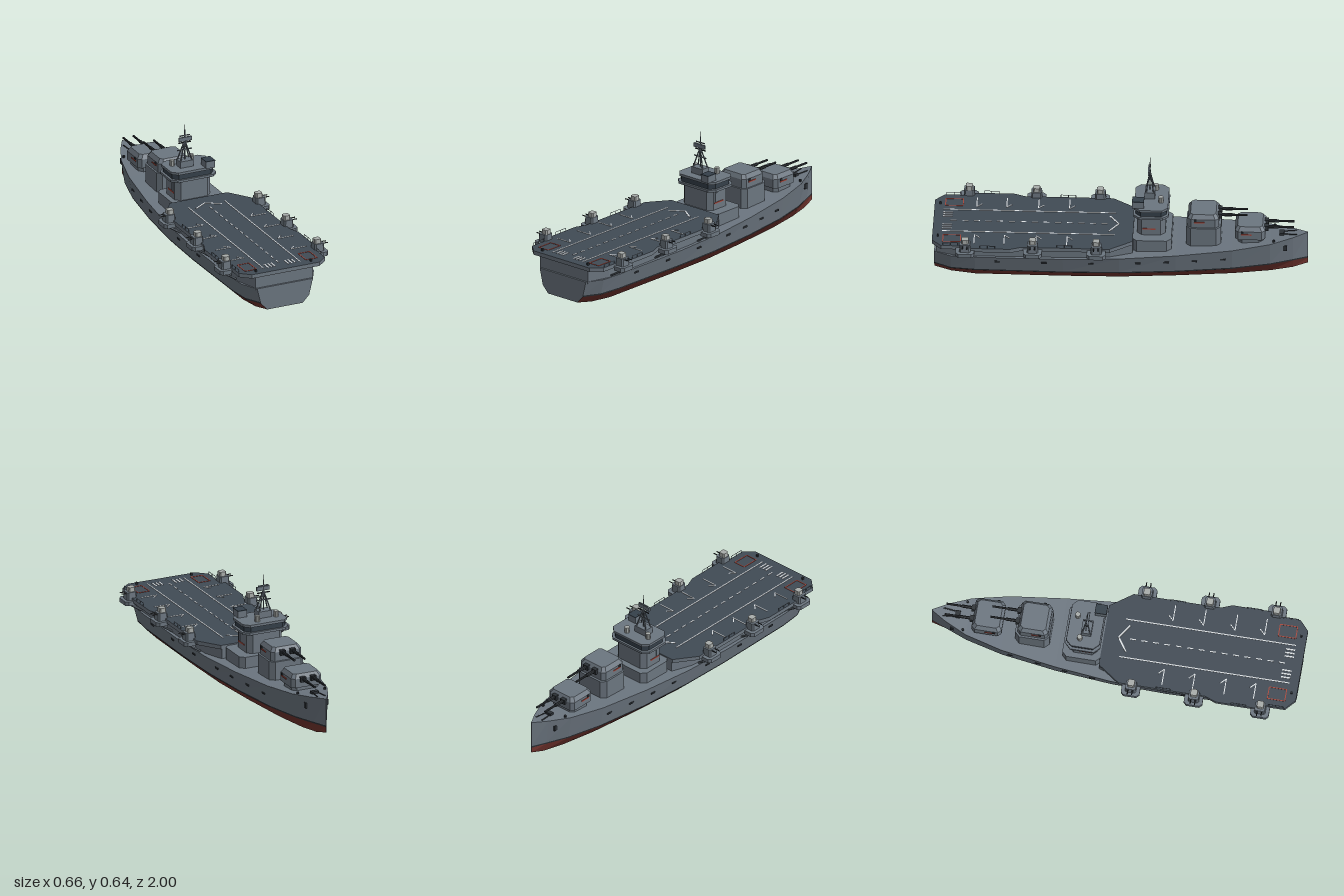
import * as THREE from 'three';

const mat = (name, color) => {
  const m = new THREE.MeshStandardMaterial({ color, flatShading: true });
  m.name = name;
  return m;
};

export function createModel() {
  const root = new THREE.Group();
  root.name = 'warship';
  const grey = mat('hull grey', 0x6c7680);
  const dark = mat('flight deck slate', 0x414b55);
  const red = mat('antifouling red', 0x74352f);
  const black = mat('gunmetal', 0x2c3136);
  const glass = mat('window dark', 0x35404a);
  const white = mat('marking white', 0xdfe3e6);
  const pale = mat('gun shield pale grey', 0xa9adab);
  const accent = mat('accent red', 0xa8483c);

  const add = (name, geo, m, parent = root) => {
    const mesh = new THREE.Mesh(geo, m);
    mesh.name = name;
    parent.add(mesh);
    return mesh;
  };
  const box = (name, w, h, d, x, y, z, m, parent) => {
    const b = add(name, new THREE.BoxGeometry(w, h, d), m, parent);
    b.position.set(x, y, z);
    return b;
  };
  const rod = (name, a, b, r, m, parent, sides = 6) => {
    const A = new THREE.Vector3(...a), B = new THREE.Vector3(...b), d = B.clone().sub(A);
    const c = add(name, new THREE.CylinderGeometry(r, r, d.length(), sides), m, parent);
    c.position.copy(A).add(B).multiplyScalar(0.5);
    c.quaternion.setFromUnitVectors(new THREE.Vector3(0, 1, 0), d.normalize());
    return c;
  };
  // Upright prism from an [x, z] outline; the top ring may shrink about its centre
  const prism = (name, pts, y0, y1, m, x = 0, z = 0, taper = 1, parent = root) => {
    const s = new THREE.Shape(pts.map(([px, pz]) => new THREE.Vector2(px, -pz)));
    const g = new THREE.ExtrudeGeometry(s, { depth: y1 - y0, bevelEnabled: false }).rotateX(-Math.PI / 2);
    const p = g.attributes.position;
    for (let i = 0; i < p.count; i++) {
      if (p.getY(i) > (y1 - y0) / 2) p.setXYZ(i, p.getX(i) * taper, p.getY(i), p.getZ(i) * taper);
    }
    g.computeVertexNormals();
    const mesh = add(name, g, m, parent);
    mesh.position.set(x, y0, z);
    return mesh;
  };
  const oct = (w, d, c) => [[-w, -d + c], [-w + c, -d], [w - c, -d], [w, -d + c],
    [w, d - c], [w - c, d], [-w + c, d], [-w, d - c]];
  const mirrored = half => [...half, ...half.map(([x, z]) => [-x, z]).reverse()];

  // Hull stations: z, half-widths at deck, waterline and bottom, deck height, keel height
  const stations = [
    [0.99, 0.165, 0.143, 0.105, 0.150, 0.02], [0.90, 0.215, 0.190, 0.130, 0.153, 0.008],
    [0.77, 0.228, 0.204, 0.142, 0.156, 0], [0.30, 0.235, 0.210, 0.145, 0.159, 0],
    [0.00, 0.226, 0.203, 0.140, 0.164, 0], [-0.30, 0.197, 0.177, 0.115, 0.173, 0],
    [-0.60, 0.155, 0.133, 0.080, 0.187, 0], [-0.80, 0.105, 0.082, 0.042, 0.200, 0],
    [-0.92, 0.050, 0.034, 0.016, 0.212, 0.008], [-1.00, 0.002, 0.002, 0.002, 0.220, 0.03]];
  const ring = ([z, wd, ww, wb, yd, yb]) => {
    const wt = ww + (wd - ww) * 0.1;
    const r = [[wd, yd, z], [wt, 0.069, z], [ww, 0.06, z], [wb, yb, z]];
    return [...r, ...r.map(([x, y, q]) => [-x, y, q]).reverse()];
  };
  const rings = stations.map(ring);
  const surface = (name, m, verts) => {
    const g = new THREE.BufferGeometry();
    g.setAttribute('position', new THREE.Float32BufferAttribute(verts.flat(), 3));
    g.computeVertexNormals();
    add(name, g, m);
  };
  const strips = (name, m, edges) => {
    const v = [];
    for (let i = 0; i < rings.length - 1; i++) {
      for (const j of edges) {
        const k = (j + 1) % 8, p = rings[i], q = rings[i + 1];
        v.push(p[j], p[k], q[j], q[j], p[k], q[k]);
      }
    }
    surface(name, m, v);
  };
  strips('hullTopsides', grey, [0, 6, 7]);
  strips('bootStripe', black, [1, 5]);
  strips('hullBottom', red, [2, 3, 4]);
  const caps = [];
  for (let j = 1; j < 7; j++) {
    caps.push(rings[0][0], rings[0][j + 1], rings[0][j]);
    caps.push(rings[9][0], rings[9][j], rings[9][j + 1]);
  }
  surface('transomAndStem', grey, caps);
  const stationAt = z => {
    const i = Math.min(stations.findIndex((s, n) => n && s[0] <= z), stations.length - 1);
    const a = stations[i - 1], b = stations[i], t = (a[0] - z) / (a[0] - b[0]);
    return a.map((v, n) => v + (b[n] - v) * t);
  };
  // Hull scuttles on both flanks
  for (const z of [0.65, 0.4, 0.15, -0.1, -0.25, -0.4, -0.55]) {
    const s = stationAt(z), t = (0.13 - 0.06) / (s[4] - 0.06), x = s[2] + (s[1] - s[2]) * t;
    for (const k of [-1, 1]) box('scuttle', 0.009, 0.009, 0.03, k * x, 0.13, z, black);
  }

  // Hangar and flight deck
  prism('hangar', mirrored([[0.165, -0.07], [0.205, 0.05], [0.215, 0.2], [0.215, 0.86], [0.17, 0.98]]), 0.14, 0.222, grey);
  const deckTop = 0.242;
  prism('flightDeck', mirrored([[0.17, -0.07], [0.255, 0.05], [0.255, 0.52], [0.278, 0.58], [0.278, 0.79],
    [0.255, 0.83], [0.255, 0.95], [0.2, 1]]), 0.22, deckTop, [dark, grey]);
  const line = (x0, z0, x1, z1, w = 0.006, m = white) => {
    const l = box('deckMarking', w, 0.002, Math.hypot(x1 - x0, z1 - z0), (x0 + x1) / 2, deckTop + 0.001, (z0 + z1) / 2, m);
    l.rotation.y = Math.atan2(x1 - x0, z1 - z0);
  };
  for (let z = 0.07; z < 0.88; z += 0.062) line(0, z, 0, z + 0.032);
  for (const k of [-1, 1]) {
    line(k * 0.108, 0.03, k * 0.108, 0.95);
    line(0, 0.01, k * 0.075, 0.06, 0.008);
    for (const z of [0.28, 0.445, 0.615, 0.775]) {
      line(k * 0.14, z, k * 0.23, z, 0.005);
      line(k * 0.14, z, k * 0.168, z - 0.028, 0.005);
    }
    for (const x of [0.04, 0.06, 0.08]) line(k * x, 0.9, k * x, 0.95, 0.008);
    for (const s of [-1, 1]) {
      line(k * 0.18 + s * 0.033, 0.848, k * 0.18 + s * 0.033, 0.942, 0.005, accent);
      line(k * 0.147, 0.895 + s * 0.047, k * 0.213, 0.895 + s * 0.047, 0.005, accent);
    }
    box('deckLight', 0.01, 0.014, 0.01, k * 0.163, 0.249, 0.97, black);
    // Edge rails
    for (const z of [0.9, 0.7, 0.29]) {
      const x = k * (z === 0.7 ? 0.274 : 0.251);
      rod('rail', [x, 0.258, z - 0.04], [x, 0.258, z + 0.04], 0.0015, grey);
      for (const d of [-0.04, 0, 0.04]) rod('railPost', [x, 0.24, z + d], [x, 0.258, z + d], 0.0015, grey);
    }
    // Side gun platforms
    [[0.12, 0.275], [0.46, 0.275], [0.82, 0.283]].forEach(([z, x]) => {
      const gun = new THREE.Group();
      gun.name = 'sideGun';
      gun.position.set(k * x, 0, z);
      root.add(gun);
      prism('platform', oct(0.038, 0.05, 0.015), 0.208, 0.231, grey, 0, 0, 1, gun);
      prism('pedestal', oct(0.029, 0.03, 0.008), 0.231, 0.274, grey, -k * 0.008, 0, 0.92, gun);
      prism('gunShield', oct(0.019, 0.019, 0.006), 0.274, 0.298, pale, -k * 0.013, 0, 0.95, gun);
      for (const d of [-0.012, 0.012]) {
        rod('barrel', [0, 0.268, d], [k * 0.046, 0.268, d], 0.003, black, gun);
        rod('strut', [k * 0.01, 0.21, d * 2.6], [-k * 0.06, 0.165, d * 2.6], 0.006, grey, gun);
      }
    });
  }

  // Gun turrets facing the bow
  const turret = (z, y, hz) => {
    const t = new THREE.Group();
    t.name = 'mainTurret';
    t.position.set(0, y, z);
    root.add(t);
    prism('turretBody', oct(0.09, hz, 0.018), 0, 0.05, grey, 0, 0, 1, t);
    prism('turretRoof', oct(0.09, hz, 0.018), 0.05, 0.073, grey, 0, 0, 0.82, t);
    box('rangefinder', 0.19, 0.012, 0.014, 0, 0.045, hz * 0.5, black, t);
    for (const k of [-1, 1]) {
      box('turretStripe', 0.005, 0.007, 0.055, k * 0.091, 0.033, 0.02, accent, t);
      box('mantlet', 0.03, 0.028, 0.03, k * 0.03, 0.046, -hz, black, t);
      rod('barrelSleeve', [k * 0.03, 0.049, -hz], [k * 0.03, 0.049, -hz - 0.07], 0.009, black, t, 8);
      rod('barrel', [k * 0.03, 0.049, -hz], [k * 0.03, 0.049, -hz - 0.152], 0.006, black, t, 8);
    }
  };
  prism('rearBarbette', oct(0.1, 0.093, 0.025), 0.165, 0.287, grey, 0, -0.445);
  turret(-0.443, 0.287, 0.083);
  prism('foreBarbette', oct(0.078, 0.068, 0.022), 0.18, 0.217, grey, 0, -0.695);
  turret(-0.693, 0.217, 0.081);

  // Foredeck fittings
  box('windlass', 0.04, 0.016, 0.025, 0, 0.212, -0.86, black);
  for (const k of [-1, 1]) {
    rod('bollard', [k * 0.08, 0.195, -0.82], [k * 0.08, 0.214, -0.82], 0.007, black);
    rod('anchorChain', [k * 0.014, 0.212, -0.86], [k * 0.022, 0.216, -0.94], 0.003, black);
    box('anchor', 0.009, 0.03, 0.02, k * 0.064, 0.155, -0.88, black);
  }

  // Bridge tower
  const bx = -0.015, bz = -0.165;
  prism('bridgeBase', oct(0.15, 0.105, 0.025), 0.155, 0.235, grey, 0, -0.17);
  prism('bridgeTower', oct(0.105, 0.076, 0.026), 0.235, 0.355, grey, bx, bz);
  prism('bridgeGallery', oct(0.135, 0.094, 0.03), 0.348, 0.361, grey, bx, bz);
  prism('bridgeWindows', oct(0.122, 0.083, 0.028), 0.361, 0.391, glass, bx, bz);
  prism('bridgeRoof', oct(0.131, 0.09, 0.03), 0.39, 0.404, grey, bx, bz);
  for (const k of [-1, 1]) {
    box('bridgeStripe', 0.006, 0.007, 0.07, bx + k * 0.105, 0.273, -0.155, accent);
    box('bridgePanel', 0.008, 0.05, 0.02, bx + k * 0.105, 0.305, -0.135, grey);
  }
  for (const [x, z] of [[-0.1, -0.185], [0.025, -0.215]]) rod('sensorDrum', [x, 0.404, z], [x, 0.436, z], 0.014, pale, root, 10);
  box('director', 0.052, 0.04, 0.062, 0.07, 0.422, -0.096, grey);
  box('directorTop', 0.054, 0.004, 0.064, 0.07, 0.442, -0.096, glass);

  // Lattice mast
  const mx = -0.04, mz = -0.155;
  box('mastHouse', 0.078, 0.037, 0.055, mx, 0.422, mz, grey);
  for (const k of [-1, 1]) {
    for (const d of [-0.02, 0.02]) rod('mastLeg', [mx + k * 0.033, 0.44, mz + d], [mx, 0.552, mz], 0.0035, grey);
  }
  rod('mastPole', [mx, 0.44, mz], [mx, 0.612, mz], 0.003, grey);
  rod('mastTip', [mx, 0.61, mz], [mx, 0.64, mz], 0.0015, black);
  box('radarPanel', 0.077, 0.022, 0.01, mx, 0.56, mz + 0.006, grey);
  for (const [y, h, m] of [[0.497, 0.043, grey], [0.538, 0.037, black], [0.578, 0.03, grey]]) {
    box('mastYard', h * 2, 0.005, 0.006, mx, y, mz, m);
  }
  return root;
}
